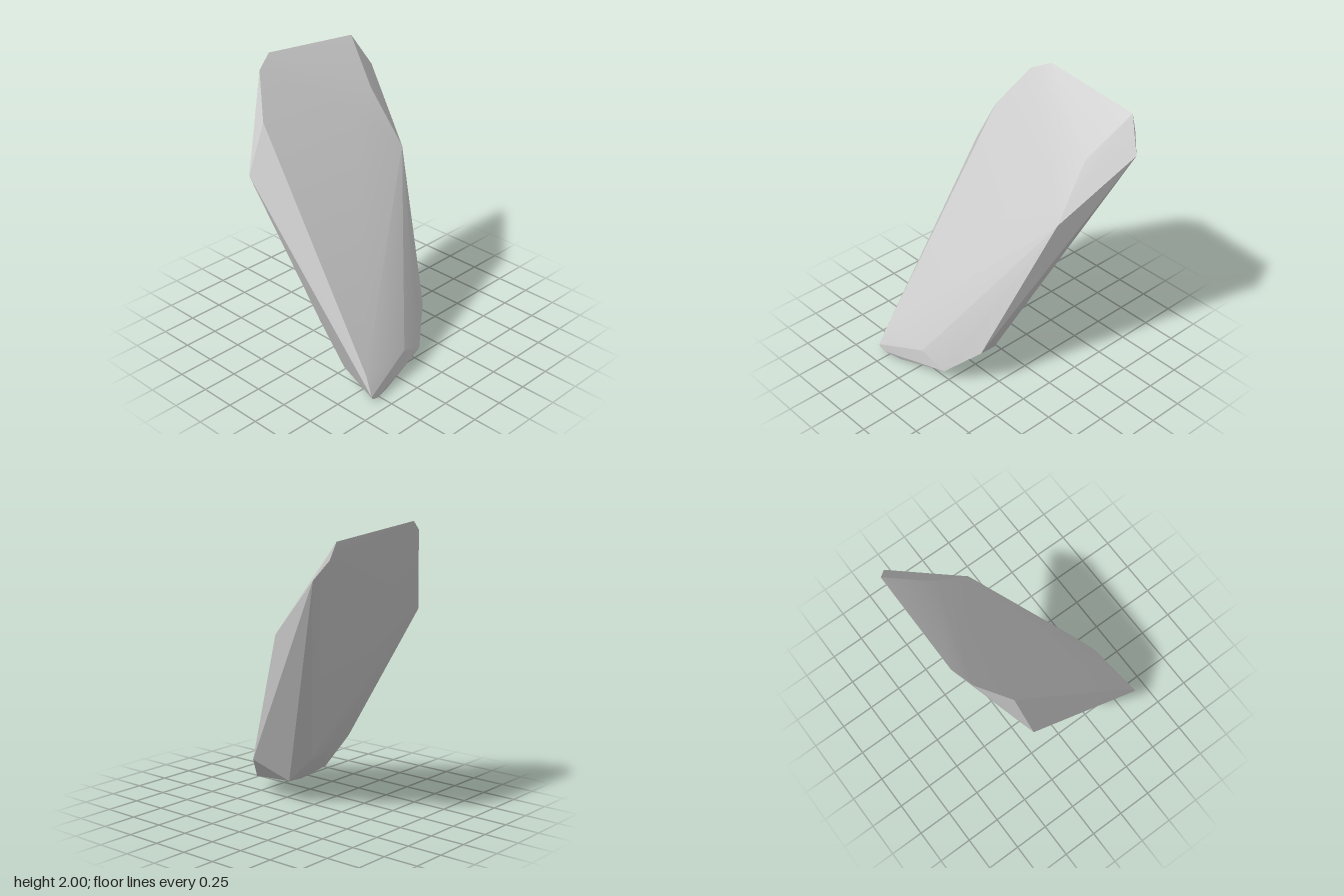
import * as THREE from 'three';
import { ConvexGeometry } from 'three/addons/geometries/ConvexGeometry.js';
import { toCreasedNormals } from 'three/addons/utils/BufferGeometryUtils.js';

// Corners of the leaning slab, grouped by face
const frontFace = [
  [-0.51, 1.66, -0.41], [-0.39, 1.78, -0.49], [0.43, 1.65, -0.34], [0.22, 1.54, -0.26],
  [0.465, 1.28, -0.07], [-0.19, 0.19, 0.575], [-0.575, 0.18, 0.59],
];
const topRim = [
  [-0.22, 2, -0.66], [-0.36, 1.93, -0.6], [-0.675, 1.34, -0.38],
  [0.545, 1.93, -0.645], [0.59, 1.82, -0.63], [0.67, 1.7, -0.565],
];
const foot = [
  [-0.59, 0.05, 0.655], [-0.58, 0.03, 0.655], [-0.53, 0.015, 0.65], [-0.4, 0, 0.61],
  [-0.4, 0.005, 0.46], [0, 0.1, 0.54], [0.21, 0.3, 0.38], [0.09, 0.16, 0.15], [-0.52, 0.1, 0.33],
];
const backFace = [
  [0.08, 0.36, -0.045], [-0.12, 0.37, -0.02], [-0.23, 1.14, -0.34], [-0.53, 0.37, 0.12],
];

export function createModel() {
  const group = new THREE.Group();
  group.name = 'rock';

  // Faceted stone: hull of the corners, softened only across shallow edges
  const points = [...frontFace, ...topRim, ...foot, ...backFace].map((p) => new THREE.Vector3(...p));
  const geometry = toCreasedNormals(new ConvexGeometry(points), 0.35);
  const slab = new THREE.Mesh(geometry, new THREE.MeshStandardMaterial({ color: 0xcccccc }));
  slab.name = 'rockSlab';
  group.add(slab);
  return group;
}
